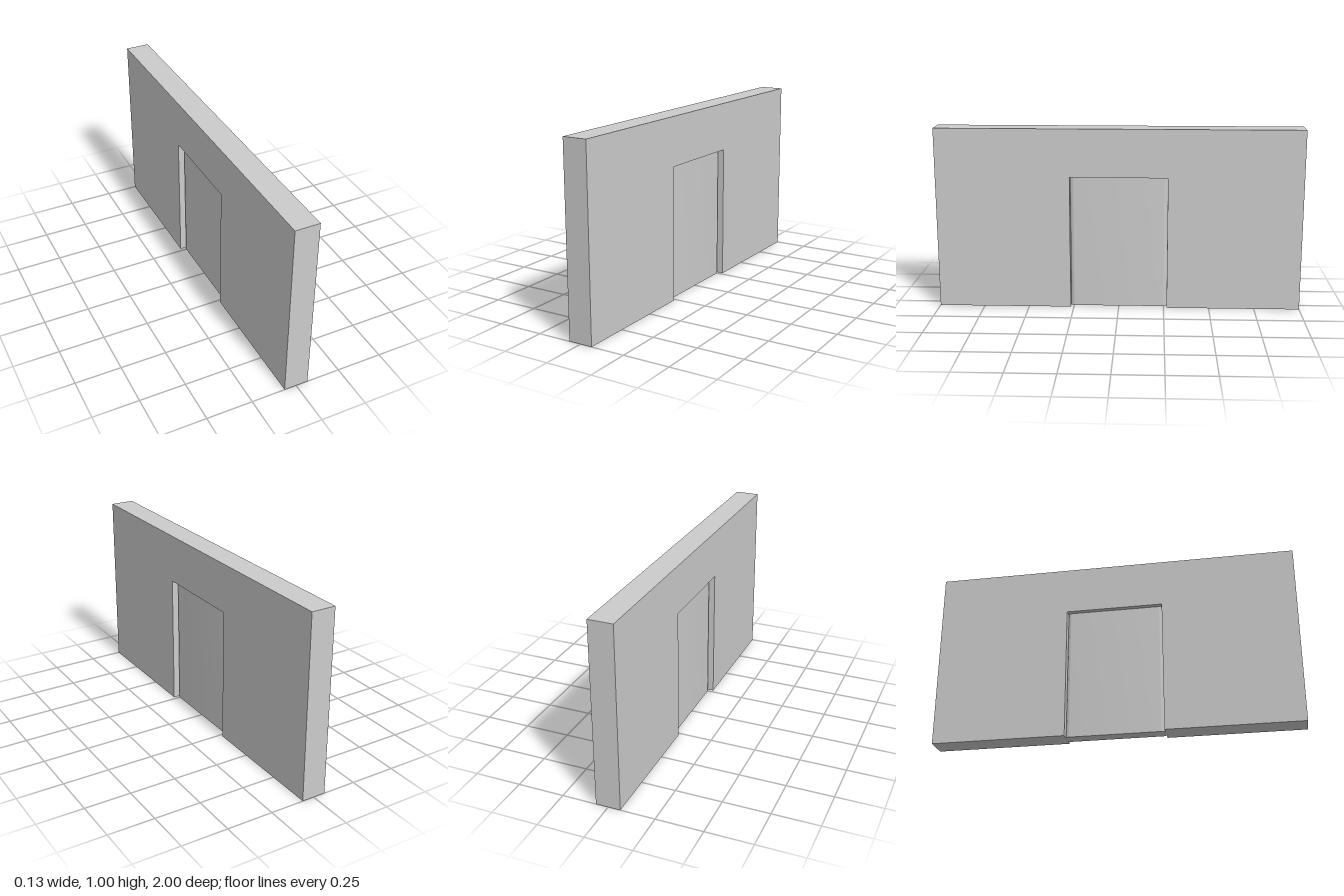
import * as THREE from 'three';
import { toCreasedNormals } from 'three/addons/utils/BufferGeometryUtils.js';

const WALL = { halfLength: 1, height: 1, thickness: 0.132 };
const DOOR = { halfWidth: 0.267, height: 0.735, halfThickness: 0.038, radius: 0.021 };

// Wall slab outline with a doorway cut from the bottom edge, extruded through its thickness
function wallGeometry() {
  const { halfLength: l, height: h, thickness: t } = WALL;
  const { halfWidth: w, height: d } = DOOR;
  const outline = [[-l, 0], [-w, 0], [-w, d], [w, d], [w, 0], [l, 0], [l, h], [-l, h]];
  const shape = new THREE.Shape(outline.map(([x, y]) => new THREE.Vector2(x, y)));
  const geometry = new THREE.ExtrudeGeometry(shape, { depth: t, bevelEnabled: false });
  return geometry.translate(0, 0, -t / 2).rotateY(-Math.PI / 2);
}

// Door panel plan with rounded vertical edges, extruded upward
function doorGeometry() {
  const { halfWidth: w, height, halfThickness: t, radius: r } = DOOR;
  const shape = new THREE.Shape();
  shape.absarc(t - r, w - r, r, 0, Math.PI / 2);
  shape.absarc(-t + r, w - r, r, Math.PI / 2, Math.PI);
  shape.absarc(-t + r, -w + r, r, Math.PI, Math.PI * 1.5);
  shape.absarc(t - r, -w + r, r, Math.PI * 1.5, Math.PI * 2);
  const geometry = new THREE.ExtrudeGeometry(shape, { depth: height, bevelEnabled: false, curveSegments: 8 });
  return toCreasedNormals(geometry.rotateX(-Math.PI / 2), Math.PI / 5);
}

export function createModel() {
  const group = new THREE.Group();
  group.name = 'wallWithDoor';
  const material = new THREE.MeshStandardMaterial({ color: 0xcccccc });
  const add = (name, geometry) => {
    const mesh = new THREE.Mesh(geometry, material);
    mesh.name = name;
    group.add(mesh);
  };
  add('wall', wallGeometry());
  add('door', doorGeometry());
  return group;
}
